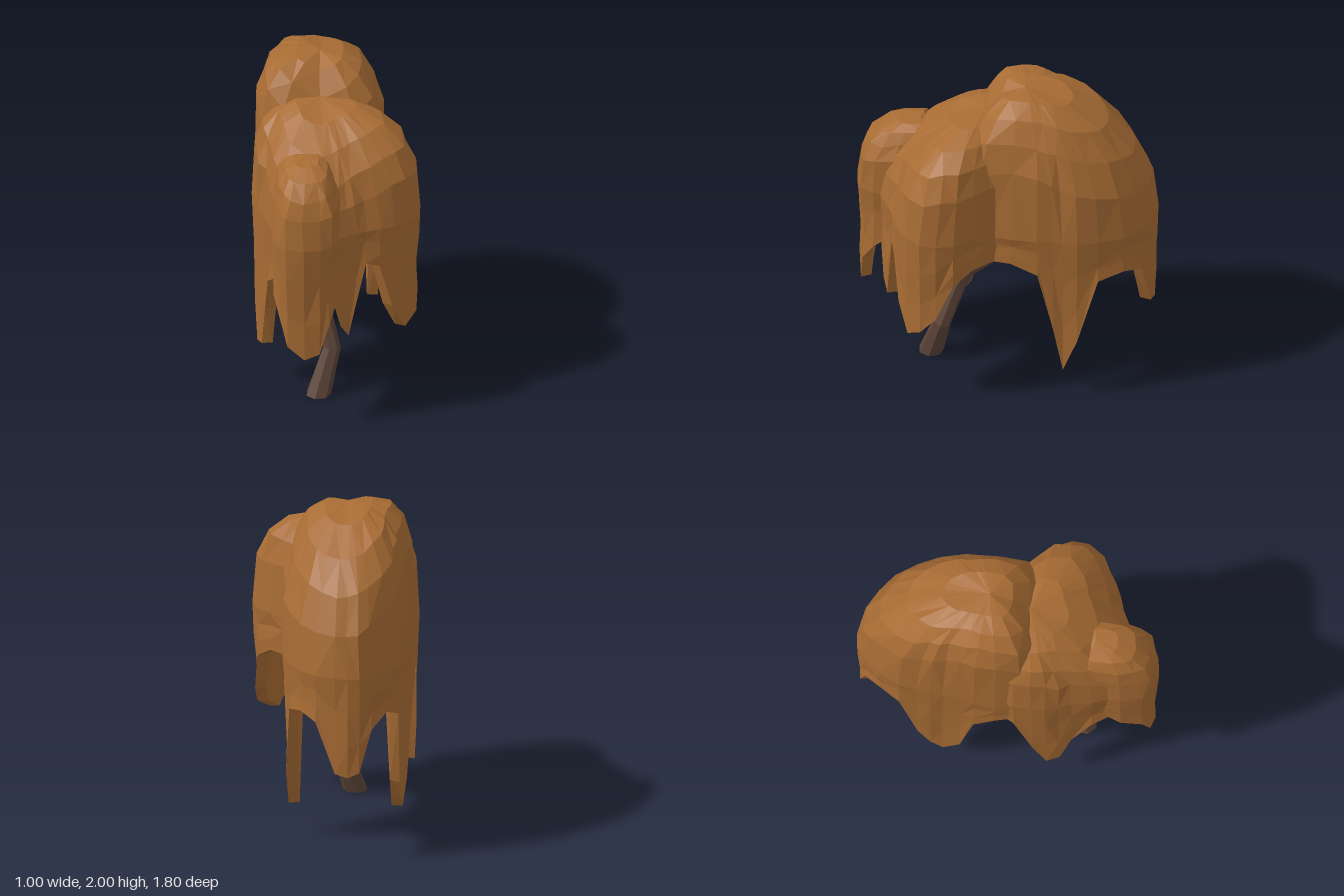
import * as THREE from 'three';

const leafMat = new THREE.MeshStandardMaterial({ color: 0xa86c34, flatShading: true });
const barkMat = new THREE.MeshStandardMaterial({ color: 0x5c4438, flatShading: true });

// Small seeded noise in -1..1
let seed = 7;
const noise = () => {
  seed = (seed * 16807) % 2147483647;
  return (seed / 2147483647) * 2 - 1;
};

// Skin a list of equal-length rings (ordered clockwise from above, top to bottom)
function loft(rings, material, name) {
  const n = rings[0].length;
  const index = [];
  for (let i = 0; i < rings.length - 1; i++) {
    for (let j = 0; j < n; j++) {
      const a = i * n + j, b = i * n + ((j + 1) % n);
      // Alternate the diagonals for an irregular faceted look
      if ((i + j) % 2) index.push(a, b, b + n, a, b + n, a + n);
      else index.push(a, b, a + n, b, b + n, a + n);
    }
  }
  const geo = new THREE.BufferGeometry().setFromPoints(rings.flat());
  geo.setIndex(index);
  const flat = geo.toNonIndexed();
  flat.computeVertexNormals();
  const mesh = new THREE.Mesh(flat, material);
  mesh.name = name;
  return mesh;
}

// Drooping leaf shell: a dome over a clockwise outline of [x, z, rim height],
// then hanging sides whose uneven rim makes the strands, and a hollow underside.
// power squares the dome off; bulge adds to it on the -x and +x sides.
function foliage(name, apex, widest, power, bulge, pts) {
  const [ax, top, az] = apex;
  const cx = pts.reduce((s, p) => s + p[0], 0) / pts.length;
  const cz = pts.reduce((s, p) => s + p[1], 0) / pts.length;
  const inset = ([x, z], d, y) => {
    const len = Math.hypot(cx - x, cz - z);
    return new THREE.Vector3(x + ((cx - x) * d) / len, y, z + ((cz - z) * d) / len);
  };

  const rings = [];
  // Dome
  for (const t of [0, 0.36, 0.63, 0.83, 0.95, 1]) {
    const j = t < 1 ? 0.016 * t * t : 0;
    rings.push(pts.map(([x, z]) => {
      const side = (x - ax) ** 2 / ((x - ax) ** 2 + (z - az) ** 2);
      const n = power + side * bulge[x < ax ? 0 : 1];
      const h = Math.pow(1 - Math.pow(t, n), 1 / n);
      return new THREE.Vector3(
        ax + (x - ax) * t + noise() * j,
        widest + (top - widest) * h + noise() * j,
        az + (z - az) * t + noise() * j);
    }));
  }
  // Hanging sides, long strands leaning slightly inward
  const lean = (p) => 0.03 * (widest - p[2]);
  for (const t of [0.35, 0.7, 1]) {
    rings.push(pts.map((p) => inset(p, t * lean(p) + (t < 1 ? 0.006 + noise() * 0.01 : 0),
      widest + (p[2] - widest) * t)));
  }
  // Rim thickness and hollow underside
  rings.push(pts.map((p) => inset(p, lean(p) + 0.065, p[2] + 0.005)));
  rings.push(pts.map((p) => inset(p, 0.12, Math.max(p[2] + 0.02, 1.0))));
  rings.push(pts.map(() => new THREE.Vector3(cx, 1.04, cz)));
  return loft(rings, leafMat, name);
}

// Tapered limb through [x, y, z, radius] points, listed from tip to root
function limb(name, path) {
  const up = new THREE.Vector3(0, 1, 0);
  const v = path.map((p) => new THREE.Vector3(p[0], p[1], p[2]));
  const rings = v.map((c, i) => {
    const dir = v[Math.max(i - 1, 0)].clone().sub(v[Math.min(i + 1, v.length - 1)]).normalize();
    if (i === v.length - 1) dir.copy(up);
    const q = new THREE.Quaternion().setFromUnitVectors(up, dir);
    return Array.from({ length: 7 }, (_, k) => {
      const a = (k / 7) * Math.PI * 2;
      return new THREE.Vector3(Math.cos(a), 0, Math.sin(a))
        .multiplyScalar(path[i][3]).applyQuaternion(q).add(c);
    });
  });
  // Caps
  rings.unshift(rings[0].map(() => v[0].clone()));
  rings.push(rings[0].map(() => v[v.length - 1].clone()));
  return loft(rings, barkMat, name);
}

export function createModel() {
  const tree = new THREE.Group();
  tree.name = 'weepingTree';

  const canopy = new THREE.Group();
  canopy.name = 'canopy';
  canopy.add(
    foliage('backFoliage', [-0.11, 2.0, -0.12], 1.15, 1.95, [2.5, 1.2], [
      [-0.18, -0.9, 0.53], [-0.1, -0.89, 0.55], [0.02, -0.85, 0.86], [0.12, -0.76, 0.9],
      [0.2, -0.62, 0.86], [0.245, -0.5, 0.42], [0.245, -0.41, 0.2], [0.25, -0.35, 0.5],
      [0.265, -0.26, 0.9], [0.27, -0.1, 0.97], [0.26, 0.08, 0.97], [0.15, 0.22, 0.97],
      [-0.1, 0.27, 0.97], [-0.35, 0.24, 0.97], [-0.47, 0.14, 0.95], [-0.5, -0.02, 0.9],
      [-0.5, -0.15, 0.76], [-0.49, -0.23, 0.32], [-0.48, -0.34, 0.18], [-0.48, -0.42, 0.25],
      [-0.47, -0.5, 0.38], [-0.46, -0.61, 0.85], [-0.4, -0.74, 0.9], [-0.32, -0.84, 0.82],
      [-0.25, -0.89, 0.56],
    ]),
    // Front mass, reaching out over the left side
    foliage('middleFoliage', [-0.1, 1.82, 0.12], 1.2, 1.7, [1.5, 1.2], [
      [0.2, -0.08, 0.97], [0.29, 0.02, 0.97], [0.38, 0.1, 0.97], [0.47, 0.2, 0.9],
      [0.5, 0.3, 0.66], [0.5, 0.4, 0.55], [0.44, 0.49, 0.49], [0.36, 0.56, 0.66],
      [0.28, 0.6, 0.95], [0.2, 0.63, 0.98], [0.15, 0.66, 0.75], [0.1, 0.69, 0.52],
      [0.05, 0.72, 0.6], [-0.04, 0.75, 0.95], [-0.2, 0.75, 0.97], [-0.35, 0.65, 0.88],
      [-0.4, 0.54, 0.8], [-0.43, 0.42, 0.55], [-0.46, 0.35, 0.28], [-0.49, 0.27, 0.26],
      [-0.5, 0.19, 0.5], [-0.5, 0.08, 0.9], [-0.45, -0.05, 0.95], [-0.15, -0.1, 0.97],
    ]),
    foliage('frontFoliage', [-0.16, 1.65, 0.52], 1.2, 2.4, [0.9, 0.9], [
      [-0.15, 0.4, 1.0], [0.03, 0.48, 1.0], [0.05, 0.65, 0.9], [0.04, 0.77, 0.8],
      [0, 0.85, 0.68], [-0.06, 0.88, 0.49], [-0.16, 0.9, 0.46], [-0.27, 0.88, 0.54],
      [-0.32, 0.83, 0.72], [-0.36, 0.7, 0.8], [-0.36, 0.5, 1.0],
    ]));
  tree.add(canopy);

  const wood = new THREE.Group();
  wood.name = 'trunkAndBranches';
  wood.add(
    limb('trunk', [
      [-0.16, 0.77, 0.02, 0.05], [-0.115, 0.62, 0.23, 0.06], [-0.085, 0.5, 0.29, 0.055],
      [-0.02, 0.27, 0.365, 0.054], [-0.095, 0, 0.445, 0.075],
    ]),
    limb('upperBranch', [[-0.18, 1.12, -0.03, 0.03], [-0.17, 0.95, -0.005, 0.035], [-0.155, 0.73, 0.05, 0.045]]),
    limb('backBranch', [[-0.18, 1.06, -0.62, 0.025], [-0.17, 0.85, -0.27, 0.037], [-0.155, 0.72, 0.05, 0.048]]),
    limb('frontBranch', [[-0.09, 1.1, 0.34, 0.03], [-0.1, 0.68, 0.34, 0.035], [-0.11, 0.57, 0.26, 0.045]]));
  tree.add(wood);
  return tree;
}
